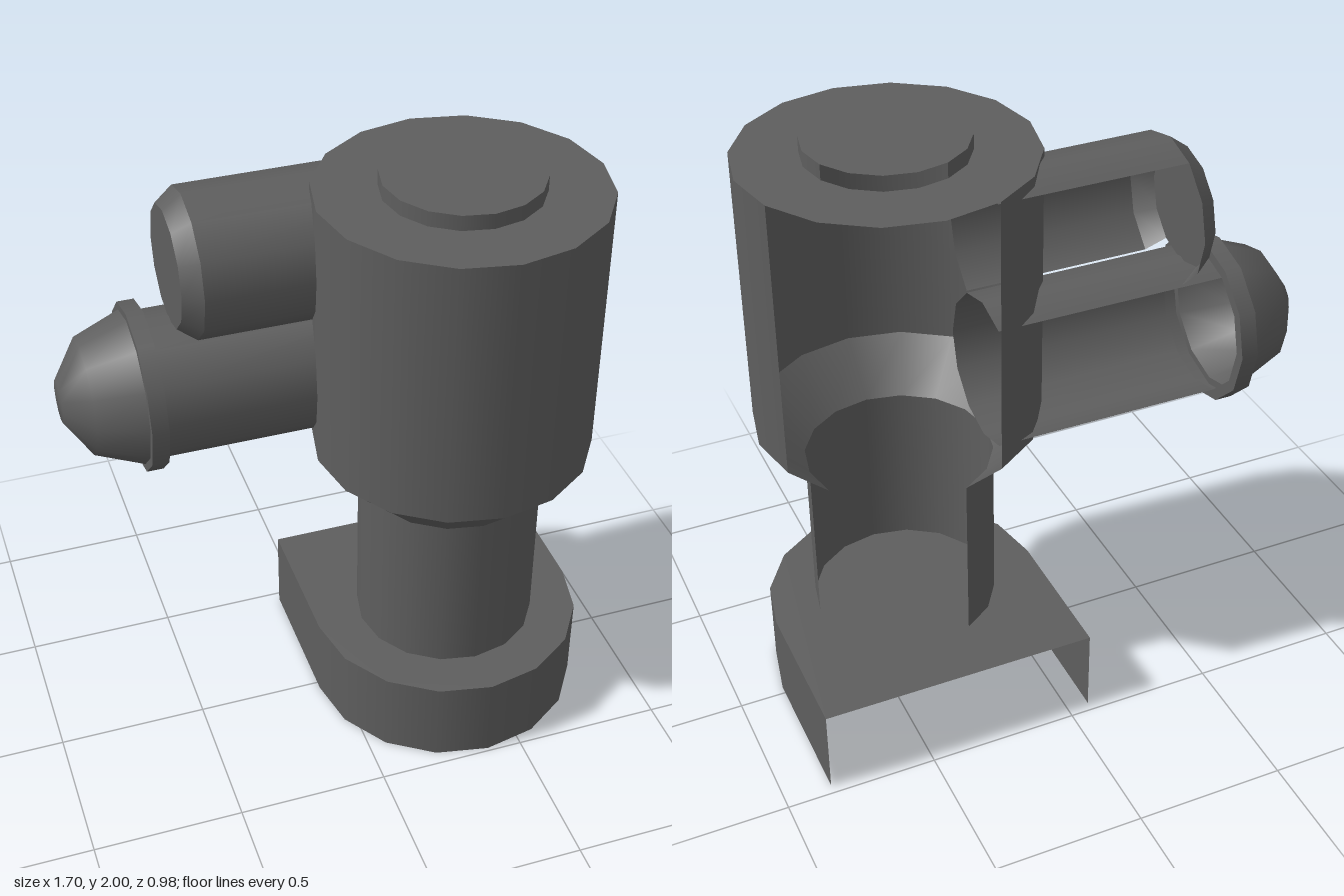
import * as THREE from 'three';

const deg = Math.PI / 180;
const AX = 0.385, AZ = 0.028; // upright axis
const R = 0.46;
const ARM_Z = -0.215;

export function createModel() {
  const model = new THREE.Group();
  const grey = new THREE.MeshStandardMaterial({ color: 0x5e5e5e, side: THREE.DoubleSide });
  grey.name = 'dark grey';

  function add(name, geometry, parent = model) {
    const mesh = new THREE.Mesh(geometry, grey);
    mesh.name = name;
    parent.add(mesh);
    return mesh;
  }

  // Open turned shell through [radius, height] points, angles in degrees from the front
  function shell(points, start, length, step) {
    return new THREE.LatheGeometry(points.map(([r, y]) => new THREE.Vector2(r, y)),
      Math.round(length / step), start * deg, length * deg);
  }

  // Upright body, its shells left open at the back
  const body = new THREE.Group();
  body.name = 'body';
  body.position.set(AX, 0, AZ);
  model.add(body);
  add('neck', shell([[0.305, 0.295], [0.305, 0.875]], 202.5, 247.5, 22.5), body);
  add('taper', shell([[0.305, 0.875], [R, 1.03]], 202.5, 270, 22.5), body);
  add('barrel', shell([[R, 1.03], [R, 1.95]], 202.5, 270, 22.5), body);
  add('barrelTop', shell([[R, 1.95], [0.255, 1.95]], 0, 360, 22.5), body);
  add('capRim', shell([[0.255, 1.95], [0.255, 2]], 202.5, 270, 22.5), body);
  add('capTop', shell([[0.255, 2], [0, 2]], 0, 360, 22.5), body);

  // Base: rounded front, straight sides, open back and underside
  const H = 0.295, BACK = 0.495;
  add('baseFront', shell([[R, 0], [R, H]], -90, 180, 22.5), body);
  for (const s of [-1, 1]) {
    const side = new THREE.PlaneGeometry(BACK, H);
    side.rotateY(s * 90 * deg);
    side.translate(s * R, H / 2, -BACK / 2);
    add(s > 0 ? 'baseLeftSide' : 'baseRightSide', side, body);
  }
  const outline = new THREE.Shape();
  outline.moveTo(R, BACK);
  outline.lineTo(-R, BACK);
  for (let i = 0; i <= 8; i++) {
    const a = (180 + i * 22.5) * deg;
    outline.lineTo(R * Math.cos(a), R * Math.sin(a));
  }
  const top = new THREE.ShapeGeometry(outline);
  top.rotateX(-90 * deg);
  top.translate(0, H, 0);
  add('baseTop', top, body);

  // Sideways arms: local height runs towards -x
  function arm(name, y) {
    const group = new THREE.Group();
    group.name = name;
    group.position.set(0, y, ARM_Z);
    group.rotation.z = 90 * deg;
    model.add(group);
    return group;
  }

  const upper = arm('upperArm', 1.7);
  add('upperTube', shell([[0.24, -0.19], [0.24, 0.42]], 300, 180, 30), upper);
  add('upperChamfer', shell([[0.24, 0.42], [0.195, 0.48]], 300, 300, 30), upper);
  add('upperEnd', shell([[0.195, 0.48], [0, 0.48]], 0, 360, 30), upper);

  const lower = arm('lowerArm', 1.277);
  add('lowerTube', shell([[0.24, -0.19], [0.24, 0.56]], 240, 240, 30), lower);
  const flange = [[0.24, 0.56], [0.275, 0.56], [0.275, 0.615], [0.25, 0.615]];
  for (let i = 0; i < 3; i++) {
    add('flange', shell([flange[i], flange[i + 1]], 0, 360, 30), lower);
  }
  add('dome', shell([[0.25, 0.615], [0.19, 0.77], [0.07, 0.85], [0, 0.85]], 0, 360, 30), lower);

  return model;
}
